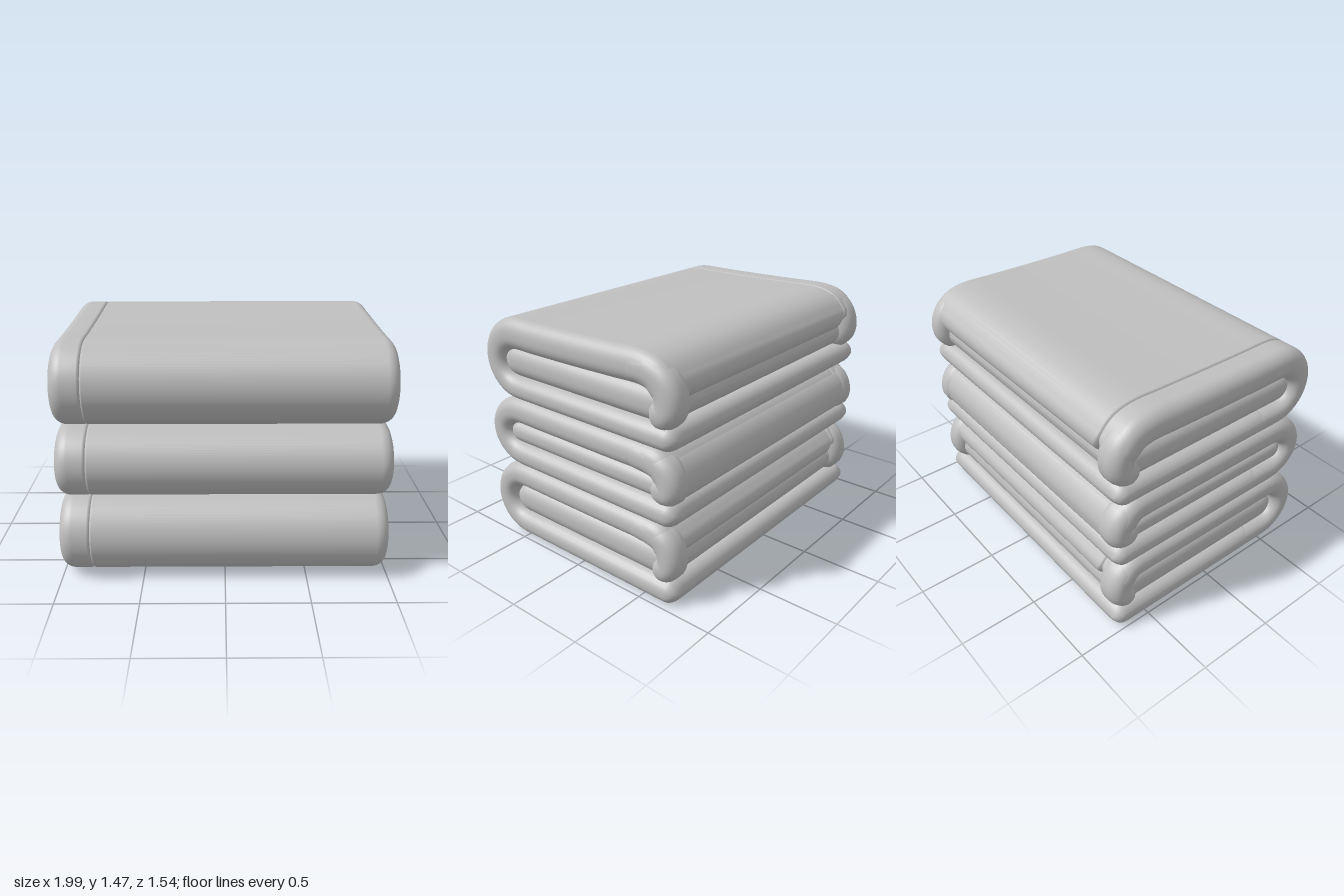
import * as THREE from 'three';

const fabric = new THREE.MeshStandardMaterial({ color: 0xbfbfbf });
fabric.name = 'grey fabric';

// Rounded cross-section: [x, n, side] with n along the layer's thickness (-1..1)
function section(x0, x1, r0, r1) {
  const ring = [], N = 7;
  for (let q = 0; q < 4; q++) {
    const left = q >= 2;
    const r = left ? r0 : r1, cx = left ? x0 + r0 : x1 - r1;
    for (let k = 0; k <= N; k++) {
      const a = (q + k / N) * Math.PI / 2;
      const c = Math.cos(a), s = Math.sin(a);
      const lift = q === 0 || q === 3 ? 0.12 : -0.12;
      ring.push([cx + r * s, c * 0.88 + lift, left ? 1 : -1]);
    }
  }
  return ring;
}

// Padded cloth strip swept along a path of [z, y] points, with soft ends
function clothStrip(name, path, x0, x1, r0, r1, thick) {
  const curve = new THREE.CatmullRomCurve3(path.map(([z, y]) => new THREE.Vector3(0, y, z)), false, 'centripetal');
  const steps = (path.length - 1) * 5, stations = [], CAP = 7;
  const add = (p, t, h, inset) => stations.push({ p, t, h, inset });
  const softEnd = (p, t, sign) => {
    const h = thick(p.y), list = [];
    for (let k = 1; k <= CAP; k++) {
      const a = k / CAP * Math.PI / 2;
      list.push([p.clone().addScaledVector(t, sign * h * Math.sin(a)), t, h * Math.cos(a), 0.06 * (1 - Math.cos(a))]);
    }
    if (sign < 0) list.reverse();
    list.forEach(s => add(...s));
  };
  softEnd(curve.getPoint(0), curve.getTangent(0), -1);
  for (let i = 0; i <= steps; i++) {
    const p = curve.getPoint(i / steps);
    add(p, curve.getTangent(i / steps), thick(p.y), 0);
  }
  softEnd(curve.getPoint(1), curve.getTangent(1), 1);

  const ring = section(x0, x1, r0, r1), M = ring.length, pos = [], idx = [];
  stations.forEach(({ p, t, h, inset }, i) => {
    ring.forEach(([x, n, side], j) => {
      pos.push(x + side * inset, p.y - t.z * n * h, p.z + t.y * n * h);
      if (i === stations.length - 1) return;
      const a = i * M + j, b = i * M + (j + 1) % M;
      idx.push(a, b, a + M, b, b + M, a + M);
    });
  });
  const geo = new THREE.BufferGeometry();
  geo.setAttribute('position', new THREE.Float32BufferAttribute(pos, 3));
  geo.setIndex(idx);
  geo.computeVertexNormals();
  const mesh = new THREE.Mesh(geo, fabric);
  mesh.name = name;
  return mesh;
}

// One folded towel. Heights: base, top of bottom layer, underside of top layer, top
function towel(name, { y0, y1, y2, y3, front, rise, fullWrap }) {
  const g = new THREE.Group();
  g.name = name;
  const yb = (y0 + y1) / 2, yt = (y2 + y3) / 2, hb = (y1 - y0) / 2, ht = (y3 - y2) / 2;
  const thick = y => THREE.MathUtils.lerp(hb, ht, THREE.MathUtils.clamp((y - yb) / (yt - yb), 0, 1));

  // outer layer: bottom, round front fold, top, drooping back edge
  const path = [[-0.66, yb], [-0.3, yb], [0.1, yb], [0.4, yb]];
  const hm = (hb + ht) / 2, rz = 0.18, cz = front - hm - rz, cy = (yb + yt) / 2, ry = (yt - yb) / 2;
  for (let k = 0; k <= 10; k++) {
    const a = -Math.PI / 2 + k / 10 * Math.PI;
    path.push([cz + rz * Math.cos(a), cy + ry * Math.sin(a)]);
  }
  path.push([0.35, yt], [0, yt + rise * 0.3], [-0.3, yt + rise * 0.8], [-0.5, yt + rise], [-0.59, yt - 0.01], [-0.64, yt - 0.06]);
  g.add(clothStrip('outerLayer', path, -0.825, 0.988, 0.025, 0.075, thick));
  g.add(clothStrip('hemBand', path, -1, -0.795, 0.08, 0.035, thick));
  // bottom layer runs under the hem as one piece
  g.add(clothStrip('bottomLayer', [[-0.66, yb + 0.002], [-0.2, yb + 0.002], [0.35, yb + 0.002]],
    -0.998, 0.985, 0.08, 0.075, () => hb + 0.002));

  // inner folded layer
  const yi = (y1 + y2 + rise) / 2, hi = (y2 - y1 + rise) / 2 + 0.008;
  g.add(clothStrip('innerFold', [[-0.6, yi], [-0.2, yi], [0.2, yi], [0.62 - hi, yi]], -0.97, 0.96, 0.08, 0.08, () => hi));

  // back corners that curl down over the inner fold
  const curl = [[-0.46, yt + rise], [-0.56, yt + rise - 0.01], [-0.635, yt - 0.04], [-0.67, (yt + yi) / 2 - 0.02],
    [-0.668, yi], [-0.64, y1 + 0.06]];
  const hc = Math.min(ht, 0.09);
  g.add(clothStrip('rightCurl', curl, -0.995, -0.81, 0.08, 0.07, () => hc));
  g.add(clothStrip('leftCurl', curl, 0.82, 0.99, 0.07, 0.075, () => hc));
  if (fullWrap) {
    g.add(clothStrip('backWrap', curl.slice(0, 5), -0.9, 0.9, 0.05, 0.05, () => hc - 0.008));
  }
  return g;
}

export function createModel() {
  const model = new THREE.Group();
  model.name = 'towelStack';
  model.add(
    towel('bottomTowel', { y0: 0, y1: 0.15, y2: 0.34, y3: 0.5, front: 0.775, rise: 0 }),
    towel('middleTowel', { y0: 0.495, y1: 0.645, y2: 0.78, y3: 0.95, front: 0.765, rise: 0, fullWrap: true }),
    towel('topTowel', { y0: 0.945, y1: 1.09, y2: 1.26, y3: 1.455, front: 0.765, rise: 0.015 })
  );
  return model;
}
